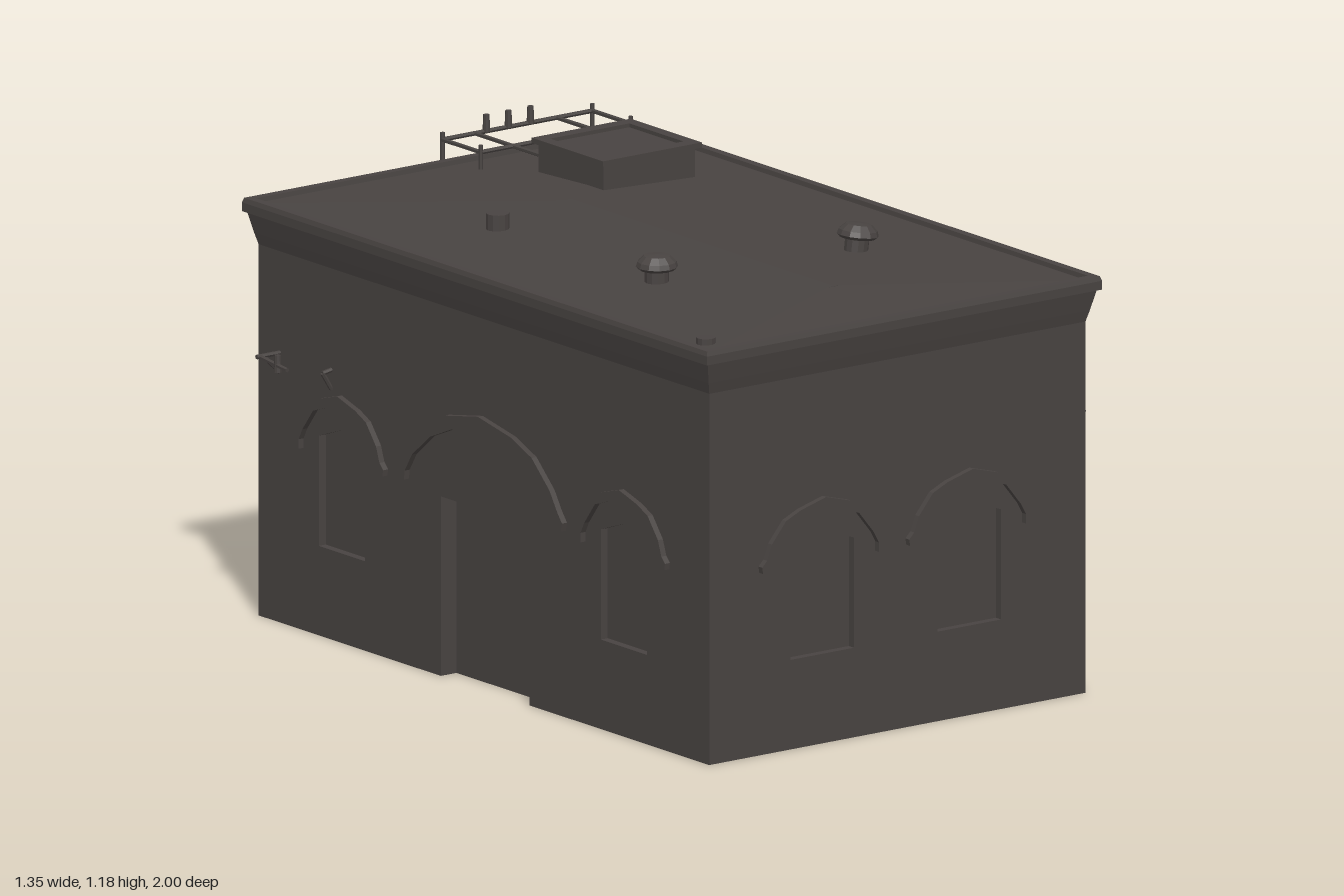
import * as THREE from 'three';

const stone = new THREE.MeshStandardMaterial({ color: 0x484341, side: THREE.DoubleSide, flatShading: true });
stone.name = 'dark stone';

// Wall faces
const X0 = -0.6, X1 = 0.595, Z0 = -0.914, Z1 = 0.968, WALL_TOP = 0.97;

function add(parent, name, geometry, x = 0, y = 0, z = 0) {
  const m = new THREE.Mesh(geometry, stone);
  m.name = name;
  m.position.set(x, y, z);
  parent.add(m);
  return m;
}

const vec = (pts) => pts.map(([x, y]) => new THREE.Vector2(x, y));

// Half outline (outside to centre, last point on the axis) mirrored to a full one
const mirror = (half) => [...half, ...half.slice(0, -1).reverse().map(([x, y]) => [-x, y])];

// Quad strips joining a list of equal-length point loops
function loft(loops, closed = true) {
  const pos = [], n = loops[0].length;
  for (let i = 0; i < loops.length - 1; i++) {
    for (let j = 0; j < (closed ? n : n - 1); j++) {
      const k = (j + 1) % n;
      const [a, b, c, d] = [loops[i][j], loops[i][k], loops[i + 1][k], loops[i + 1][j]];
      pos.push(...a, ...b, ...c, ...a, ...c, ...d);
    }
  }
  const g = new THREE.BufferGeometry();
  g.setAttribute('position', new THREE.Float32BufferAttribute(pos, 3));
  g.computeVertexNormals();
  return g;
}

// Thin rod between two points
function rod(parent, name, a, b, r = 0.006) {
  const p = new THREE.Vector3(...a), q = new THREE.Vector3(...b);
  const m = add(parent, name, new THREE.CylinderGeometry(r, r, p.distanceTo(q), 6));
  m.position.copy(p).add(q).multiplyScalar(0.5);
  m.quaternion.setFromUnitVectors(new THREE.Vector3(0, 1, 0), q.sub(p).normalize());
}

const WINDOW = mirror([[-0.101, 0.234], [-0.101, 0.522], [-0.052, 0.539], [0, 0.556]]);
const SMALL_ARCH = {
  outer: [[-0.2, 0.477], [-0.203, 0.494], [-0.187, 0.51], [-0.172, 0.55], [-0.127, 0.604], [-0.08, 0.625], [0, 0.647]],
  inner: [[-0.168, 0.477], [-0.168, 0.502], [-0.152, 0.531], [-0.105, 0.589], [-0.05, 0.607], [0, 0.618]],
};
const BIG_ARCH = {
  outer: [[-0.347, 0.488], [-0.352, 0.51], [-0.332, 0.535], [-0.3, 0.585], [-0.225, 0.655], [-0.14, 0.69], [0, 0.716]],
  inner: [[-0.308, 0.488], [-0.305, 0.512], [-0.275, 0.56], [-0.2, 0.622], [-0.11, 0.66], [0, 0.678]],
};

// Raised hood moulding over an opening
function hood(parent, { outer, inner }, x, scale = 1) {
  const pts = [...mirror(outer), ...mirror(inner).reverse()].map(([u, v]) => [u * scale, v]);
  const g = new THREE.ExtrudeGeometry(new THREE.Shape(vec(pts)), { depth: 0.016, bevelEnabled: false });
  add(parent, 'archMoulding', g, x);
}

// One wall in its own plane: windows are holes, the door is a notch to the ground
function wall(name, u0, u1, windows, door, scale) {
  const g = new THREE.Group();
  g.name = name;
  const outline = [[u0, 0]];
  const doorPts = door && [[door[0], 0], [door[0], 0.469], [door[1], 0.469], [door[1], 0]];
  if (door) outline.push(...doorPts);
  outline.push([u1, 0], [u1, WALL_TOP], [u0, WALL_TOP]);
  const shape = new THREE.Shape(vec(outline));
  const recess = (part, pts, depth, closed) => {
    add(g, part + 'Reveal', loft([0, -depth].map((z) => pts.map(([u, v]) => [u, v, z])), closed));
    add(g, part + 'Panel', new THREE.ShapeGeometry(new THREE.Shape(vec(pts))), 0, 0, -depth);
  };
  for (const c of windows) {
    const pts = WINDOW.map(([u, v]) => [u * scale + c, v]);
    shape.holes.push(new THREE.Path(vec(pts)));
    recess('window', pts, 0.022, true);
    hood(g, SMALL_ARCH, c, scale);
  }
  if (door) {
    recess('door', doorPts, 0.05, false);
    hood(g, BIG_ARCH, (door[0] + door[1]) / 2 + Math.sign(door[0] + door[1]) * -0.01);
  }
  add(g, 'wallFace', new THREE.ShapeGeometry(shape));
  return g;
}

// Mushroom vent on a short pipe
function vent(parent, x, z, tilt) {
  const g = new THREE.Group();
  g.name = 'roofVent';
  add(g, 'ventPipe', new THREE.CylinderGeometry(0.031, 0.031, 0.06, 12), 0, 0.02, 0);
  const cap = [[0, 0.037], [0.045, 0.037], [0.054, 0.045], [0.05, 0.058], [0.034, 0.073], [0, 0.076]];
  add(g, 'ventCap', new THREE.LatheGeometry(vec(cap), 12));
  g.position.set(x, 1.084, z);
  g.rotation.z = tilt;
  parent.add(g);
}

function peg(parent, x, y, z) {
  add(parent, 'insulator', new THREE.CylinderGeometry(0.008, 0.01, 0.045, 8), x, y + 0.022, z);
}

export function createModel() {
  const model = new THREE.Group();
  model.name = 'building';

  // Four walls
  const front = wall('frontWall', X0, X1, [-0.241, 0.226], null, 1);
  front.position.z = Z1;
  const back = wall('backWall', -X1, -X0, [-0.226, 0.241], null, 1);
  back.position.z = Z0;
  back.rotation.y = Math.PI;
  const left = wall('leftWall', -Z1, -Z0, [-0.611, 0.566], [-0.217, 0.153], 0.95);
  left.position.x = X1;
  left.rotation.y = Math.PI / 2;
  const right = wall('rightWall', Z0, Z1, [-0.566, 0.611], [-0.153, 0.217], 0.95);
  right.position.x = X0;
  right.rotation.y = -Math.PI / 2;
  model.add(front, back, left, right);

  // Flared cornice, rim and shallow hipped roof
  const ring = (e, y) => [[X0 - e, y, Z1 + e], [X1 + e, y, Z1 + e], [X1 + e, y, Z0 - e], [X0 - e, y, Z0 - e]];
  const rim = [[0, 0.97], [0.008, 1.0], [0.02, 1.052], [0.03, 1.055], [0.03, 1.078], [0.026, 1.09], [0.004, 1.09], [0.002, 1.078]];
  add(model, 'cornice', loft(rim.map(([e, y]) => ring(e, y))));
  add(model, 'roof', loft([ring(0.002, 1.078),
    [[-0.02, 1.1, 0.7], [0.02, 1.1, 0.7], [0.02, 1.1, -0.4], [-0.02, 1.1, -0.4]],
    [[0, 1.101, 0.7], [0, 1.101, 0.7], [0, 1.101, -0.4], [0, 1.101, -0.4]]]));

  // Roof vents and pipes
  vent(model, -0.3, 0.355, 0);
  vent(model, 0.29, 0.41, -0.13);
  add(model, 'roofPipe', new THREE.CylinderGeometry(0.03, 0.03, 0.06, 12), -0.3, 1.1, -0.31);
  add(model, 'cornerPipe', new THREE.CylinderGeometry(0.025, 0.025, 0.025, 12), -0.553, 1.083, 0.892);

  // Roof hatch with an overhanging frame
  const hatch = new THREE.Group();
  hatch.name = 'roofHatch';
  add(hatch, 'hatchBox', new THREE.BoxGeometry(0.29, 0.09, 0.272), 0, -0.055, 0);
  const rect = (w, h) => vec([[-w, -h], [w, -h], [w, h], [-w, h]]);
  const lid = new THREE.Shape(rect(0.157, 0.149));
  lid.holes.push(new THREE.Path(rect(0.126, 0.113)));
  add(hatch, 'hatchFrame', new THREE.ExtrudeGeometry(lid, { depth: 0.014, bevelEnabled: false }).rotateX(-Math.PI / 2), 0, -0.014, 0);
  hatch.position.set(0.274, 1.176, -0.567);
  model.add(hatch);

  // Wire rack hanging over the back edge
  const rack = new THREE.Group();
  rack.name = 'wireRack';
  const ZR = -0.99, ZI = -0.83, XA = 0.042, XB = 0.518;
  for (const x of [XA, XB]) {
    rod(rack, 'rackUpright', [x, 1.145, ZR], [x, 0.755, ZR]);
    rod(rack, 'rackTopArm', [x, 1.126, ZR], [x, 1.126, ZI]);
    rod(rack, 'rackPost', [x, 1.145, ZI], [x, 1.08, ZI]);
    rod(rack, 'rackLowerArm', [x, 0.765, ZR], [x, 0.765, Z0]);
    rod(rack, 'rackBrace', [x, 0.765, -0.97], [x, 0.712, Z0]);
  }
  for (const x of [0.145, 0.405]) rod(rack, 'hatchBar', [x, 1.126, ZR], [x, 1.126, -0.7]);
  rod(rack, 'innerRail', [XA, 1.126, ZI], [XB, 1.126, ZI]);
  for (const [y, pegs] of [[1.126, [0.18, 0.25, 0.32]], [0.95, [0.39]], [0.865, [0.15, 0.32]], [0.765, [0.15, 0.24, 0.39]]]) {
    rod(rack, 'rackRail', [XA, y, ZR], [XB, y, ZR]);
    for (const x of pegs) peg(rack, x, y, ZR + 0.002);
  }
  model.add(rack);

  // Side bracket on the left wall
  const bracket = new THREE.Group();
  bracket.name = 'leftBracket';
  for (const z of [0.65, 0.866]) {
    rod(bracket, 'bracketArm', [X1, 0.705, z], [0.67, 0.705, z]);
    rod(bracket, 'bracketBrace', [X1, 0.655, z], [0.65, 0.702, z]);
  }
  rod(bracket, 'bracketRail', [0.662, 0.708, 0.645], [0.662, 0.708, 0.872]);
  for (const z of [0.73, 0.807]) peg(bracket, 0.662, 0.705, z);
  model.add(bracket);

  // Damaged bracket on the right wall
  const broken = new THREE.Group();
  broken.name = 'rightBracket';
  rod(broken, 'bracketArm', [X0, 0.705, -0.825], [-0.674, 0.705, -0.825]);
  rod(broken, 'bracketBrace', [X0, 0.655, -0.825], [-0.65, 0.702, -0.825]);
  rod(broken, 'bracketRail', [-0.664, 0.705, -0.825], [-0.668, 0.695, -0.705]);
  rod(broken, 'bracketStub', [X0, 0.705, -0.61], [-0.628, 0.7, -0.61]);
  rod(broken, 'bracketBrace', [X0, 0.655, -0.61], [-0.628, 0.7, -0.61]);
  peg(broken, -0.664, 0.68, -0.75);
  model.add(broken);

  return model;
}
